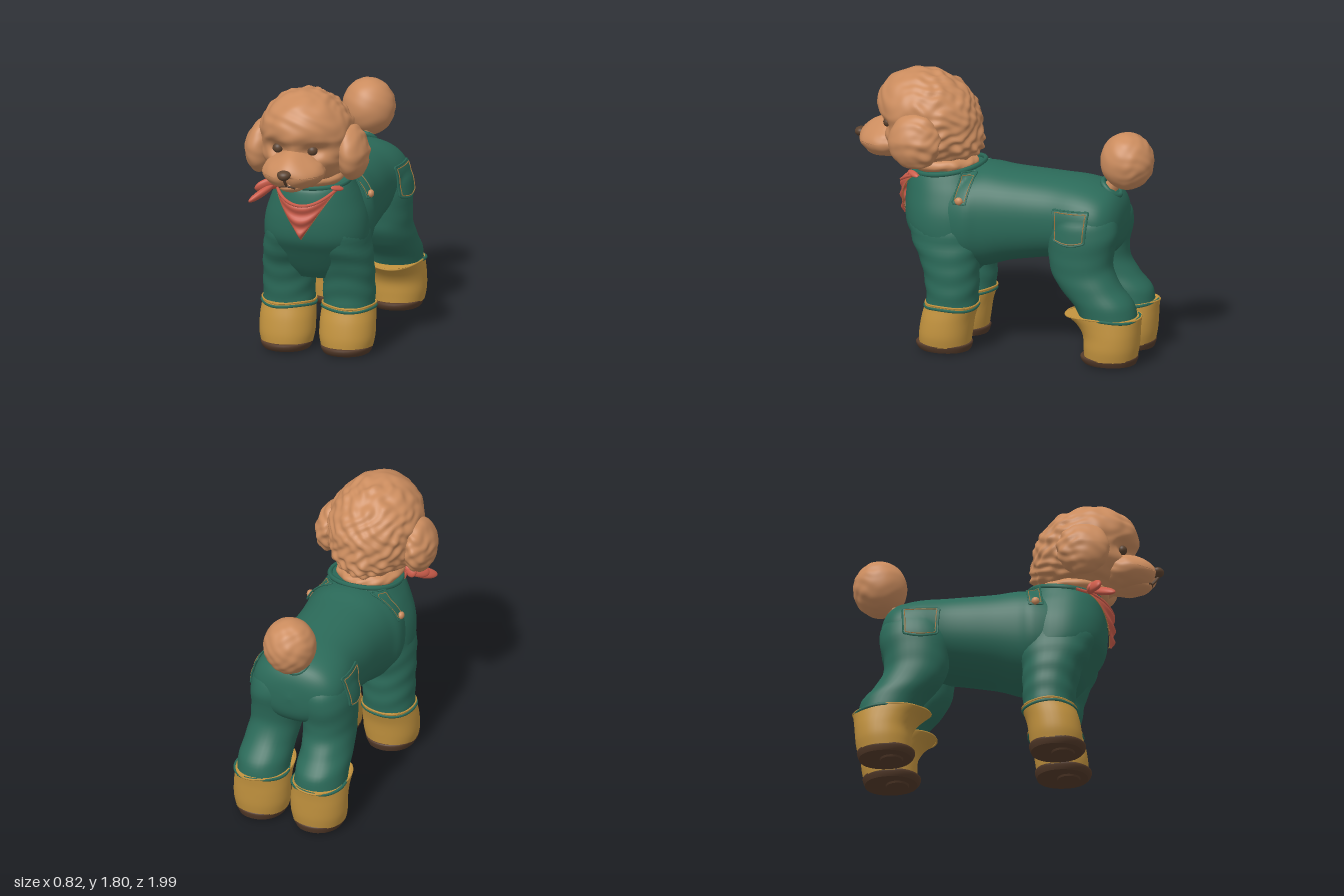
import * as THREE from 'three';
import { mergeVertices } from 'three/addons/utils/BufferGeometryUtils.js';

const mat = (name, color, side = THREE.FrontSide) => {
  const m = new THREE.MeshStandardMaterial({ color, side });
  m.name = name;
  return m;
};
const V = (x, y, z) => new THREE.Vector3(x, y, z);
const X0 = 0.01; // slight sideways shift of the clothed body

export function createModel() {
  const root = new THREE.Group();
  root.name = 'dressedDog';
  const fur = mat('apricotFur', 0xcb8c5e), green = mat('greenCloth', 0x2b6a59, THREE.DoubleSide);
  const gold = mat('goldBoot', 0xc4943f), brown = mat('brownSole', 0x563c2b);
  const dark = mat('darkNose', 0x5c4330), red = mat('redScarf', 0xcb5c4a, THREE.DoubleSide);
  const stitch = mat('tanStitch', 0xa9793f);

  const add = (name, geo, material, parent = root) => {
    const mesh = new THREE.Mesh(geo, material);
    mesh.name = name;
    parent.add(mesh);
    return mesh;
  };

  // Skin over elliptical sections [x, y, z, rx, rz, tilt]; tilt PI/2 stands the ring upright
  function loft(sections, { power = 2, seg = 36, steps = 5, wrinkle = 0 } = {}) {
    const pos = [], idx = [], n = (sections.length - 1) * steps;
    const get = (i, k) => sections[Math.max(0, Math.min(sections.length - 1, i))][k] || 0;
    const at = (t, k) => {
      const i = Math.min(Math.floor(t), sections.length - 2), f = t - i;
      const [a, b, c, d] = [get(i - 1, k), get(i, k), get(i + 1, k), get(i + 2, k)];
      return b + 0.5 * f * (c - a + f * (2 * a - 5 * b + 4 * c - d + f * (3 * (b - c) + d - a)));
    };
    const sp = (v) => Math.sign(v) * Math.pow(Math.abs(v), 2 / power);
    const ring = (i) => {
      const [x, y, z, rx, rz, tilt] = [0, 1, 2, 3, 4, 5].map((k) => at(i / steps, k));
      for (let j = 0; j < seg; j++) {
        const a = (j / seg) * Math.PI * 2;
        const w = 1 + wrinkle * Math.sin(y * 48 + 1.5 * Math.sin(a * 2 + x * 9));
        const v = sp(Math.sin(a)) * rz * w;
        pos.push(x + X0 + sp(Math.cos(a)) * rx * w, y + v * Math.sin(tilt), z + v * Math.cos(tilt));
      }
      return [x + X0, y, z];
    };
    for (let i = 0; i <= n; i++) ring(i);
    for (let i = 0; i < n; i++) for (let j = 0; j < seg; j++) {
      const a = i * seg + j, b = i * seg + (j + 1) % seg;
      idx.push(a, a + seg, b, b, a + seg, b + seg);
    }
    for (const end of [0, n]) { // flat caps
      const s = pos.length / 3;
      pos.push(...ring(end));
      for (let j = 0; j < seg; j++) {
        const a = s + j, b = s + (j + 1) % seg;
        idx.push(s + seg, end ? b : a, end ? a : b);
      }
    }
    const g = new THREE.BufferGeometry();
    g.setAttribute('position', new THREE.Float32BufferAttribute(pos, 3));
    g.setIndex(idx);
    g.computeVertexNormals();
    return g;
  }

  // Smooth ball, moved point by point by a rule, with curly relief
  function blob(c, r, detail, curl = 0, shape = () => {}) {
    let g = new THREE.IcosahedronGeometry(1, detail);
    g.deleteAttribute('uv');
    g.deleteAttribute('normal');
    g = mergeVertices(g, 1e-4);
    const p = g.attributes.position, v = V(0, 0, 0);
    for (let i = 0; i < p.count; i++) {
      v.fromBufferAttribute(p, i);
      const d = v.clone();
      v.multiply(V(...r)).add(V(...c));
      const { x, y, z } = v;
      const soft = Math.sin(x * 31 + 2 * Math.sin(y * 23)) * Math.sin(y * 29 + 2 * Math.sin(z * 21)) + 0.5 * Math.sin(z * 37 + x * 19 + y * 11);
      const tight = Math.sin(x * 62 + Math.sin(y * 31)) * Math.sin(y * 66 + Math.sin(z * 35)) + 0.5 * Math.sin(z * 64 + 1.3 * Math.sin(x * 40)) * Math.sin(y * 45);
      v.addScaledVector(d, curl * (0.45 * soft + tight * THREE.MathUtils.clamp(0.4 - d.z * 1.2, 0, 0.9)));
      shape(v);
      p.setXYZ(i, v.x, v.y, v.z);
    }
    g.computeVertexNormals();
    return g;
  }
  const tube = (pts, r, closed = false) =>
    new THREE.TubeGeometry(new THREE.CatmullRomCurve3(pts, closed, 'centripetal'), pts.length * 3, r, 6, closed);

  // Curved sheet from a rule f(u, v) -> point
  function sheet(f, nu, nv) {
    const g = new THREE.PlaneGeometry(1, 1, nu, nv), p = g.attributes.position;
    for (let i = 0; i < p.count; i++) p.setXYZ(i, ...f(p.getX(i) + 0.5, 0.5 - p.getY(i)).toArray());
    g.computeVertexNormals();
    return g;
  }

  // ---- Clothed body ----
  const up = Math.PI / 2, cloth = [];
  const clothPart = (name, geo) => cloth.push(add(name, geo, green));
  clothPart('torso', loft([
    [0, 0.84, 0.5, 0.12, 0.18, up], [0, 0.85, 0.4, 0.27, 0.28, up], [0, 0.86, 0.2, 0.335, 0.33, up],
    [0, 0.875, 0.08, 0.315, 0.335, up], [0, 0.89, -0.06, 0.3, 0.305, up], [0, 0.9, -0.2, 0.295, 0.287, up],
    [0, 0.91, -0.38, 0.293, 0.268, up], [0, 0.91, -0.55, 0.315, 0.255, up], [0, 0.9, -0.68, 0.31, 0.235, up],
    [0, 0.895, -0.76, 0.26, 0.195, up], [0, 0.89, -0.805, 0.16, 0.12, up], [0, 0.89, -0.82, 0.01, 0.01, up],
  ], { power: 2.25, seg: 56 }));
  clothPart('chest', loft([
    [0, 0.505, 0.28, 0.2, 0.14], [0, 0.58, 0.285, 0.27, 0.195], [0, 0.7, 0.3, 0.325, 0.258], [0, 0.8, 0.33, 0.336, 0.288],
    [0, 0.92, 0.335, 0.324, 0.297], [0, 1.04, 0.34, 0.285, 0.285], [0, 1.12, 0.35, 0.25, 0.26], [0, 1.17, 0.36, 0.225, 0.235, -0.12],
  ], { power: 2.2, seg: 56 }));
  for (const s of [-1, 1]) {
    const side = s > 0 ? 'left' : 'right';
    clothPart(side + 'FrontTrouser', loft([
      [s * 0.2, 0.3, 0.277, 0.165, 0.163], [s * 0.2, 0.4, 0.277, 0.165, 0.168], [s * 0.198, 0.5, 0.283, 0.164, 0.177],
      [s * 0.193, 0.6, 0.295, 0.165, 0.192], [s * 0.175, 0.72, 0.31, 0.168, 0.235], [s * 0.145, 0.86, 0.31, 0.17, 0.265],
      [s * 0.1, 1.0, 0.33, 0.13, 0.18],
    ], { power: 2.2, wrinkle: 0.016 }));
    clothPart(side + 'HindTrouser', loft([
      [s * 0.2, 0.3, -0.77, 0.165, 0.18], [s * 0.2, 0.4, -0.73, 0.165, 0.2], [s * 0.195, 0.5, -0.645, 0.162, 0.205],
      [s * 0.185, 0.6, -0.588, 0.162, 0.205], [s * 0.178, 0.7, -0.575, 0.168, 0.21], [s * 0.17, 0.85, -0.582, 0.172, 0.233],
      [s * 0.15, 0.96, -0.585, 0.16, 0.205], [s * 0.12, 1.06, -0.58, 0.1, 0.12],
    ], { power: 2.15, wrinkle: 0.006 }));

    // Boots with soles and cuffs
    const boots = {
      Front: { z: 0.325, rz: 0.168, hem: [0.303, 0.282, 0.172], wall: [[0.05, 0.325, 0.165, 0.165], [0.12, 0.32, 0.179, 0.17], [0.22, 0.305, 0.179, 0.17], [0.3, 0.282, 0.172, 0.172], [0.325, 0.278, 0.173, 0.173]] },
      Hind: { z: -0.775, rz: 0.172, hem: [0.318, -0.79, 0.18], wall: [[0.05, -0.78, 0.168, 0.17], [0.12, -0.785, 0.18, 0.178], [0.2, -0.785, 0.18, 0.185], [0.27, -0.765, 0.177, 0.21], [0.325, -0.732, 0.175, 0.25]] },
    };
    for (const [end, b] of Object.entries(boots)) {
      const x = s * 0.2;
      add(side + end + 'Boot', loft(b.wall.map(([y, ...r]) => [x, y, ...r]), { power: 2.15 }), gold);
      add(side + end + 'Sole', loft([[x, 0.012, b.z, 0.148, b.rz - 0.004], [x, 0.03, b.z + 0.005, 0.158, b.rz + 0.008],
        [x, 0.055, b.z + 0.005, 0.166, b.rz + 0.015], [x, 0.062, b.z + 0.003, 0.16, b.rz + 0.005]], { power: 2.15, steps: 2 }), brown);
      add(side + end + 'Tread', loft([[x, 0, b.z + 0.04, 0.07, 0.07], [x, 0.02, b.z + 0.04, 0.08, 0.08]], { steps: 1 }), brown);
      const hoop = (y, z, rz) => Array.from({ length: 24 }, (_, i) => {
        const a = (i / 24) * Math.PI * 2;
        return V(x + X0 + 0.173 * Math.cos(a), y + 0.006 * Math.sin(a * 3 + s), z + rz * Math.sin(a));
      });
      const [, rimZ, , rimR] = b.wall[4];
      add(side + end + 'BootRim', tube(hoop(0.323, rimZ, rimR), 0.006, true), gold);
      add(side + end + 'TrouserHem', tube(hoop(...b.hem), 0.01, true), green);
    }
  }

  // Finds the cloth surface so that trims can lie on it
  const caster = new THREE.Raycaster();
  root.updateMatrixWorld(true);
  const onCloth = (from, dir, lift) => {
    caster.set(from, dir);
    const hit = caster.intersectObjects(cloth, false)[0];
    return hit ? hit.point.addScaledVector(dir, -lift) : null;
  };
  const onSide = (s, y, z, lift) => onCloth(V(s * 2, y, z), V(-s, 0, 0), lift) || V(s * 0.2, y, z);

  // Closed outline of a sheet, set in by a margin m
  const border = (m, lift, path) => {
    const out = [], corners = [[m, m], [1 - m, m], [1 - m, 1 - m], [m, 1 - m]];
    corners.forEach((a, k) => {
      const b = corners[(k + 1) % 4];
      for (let i = 0; i < 6; i++) out.push(path(a[0] + (b[0] - a[0]) * i / 6, a[1] + (b[1] - a[1]) * i / 6, lift));
    });
    return out;
  };

  for (const s of [-1, 1]) {
    const side = s > 0 ? 'left' : 'right';
    // Hip pocket with stitched border
    const pocket = (u, v, lift) => {
      const y = 1.02 - v * (0.19 + 0.025 * (1 - (2 * u - 1) ** 2));
      return onSide(s, y, -0.42 - 0.235 * u - 0.012 * v * (1 - 2 * u), lift);
    };
    add(side + 'Pocket', sheet((u, v) => pocket(u, v, 0.014), 12, 12), green);
    add(side + 'PocketEdge', tube(border(0, 0.01, pocket), 0.007, true), green);
    add(side + 'PocketStitch', tube(border(0.06, 0.018, pocket), 0.003, true), stitch);

    // Shoulder strap and button
    const strap = (u, v, lift) => onSide(s, 1.185 - 0.175 * v, 0.13 + 0.085 * u + 0.03 * v, lift);
    add(side + 'Strap', sheet((u, v) => strap(u, v, 0.014), 8, 10), green);
    add(side + 'StrapEdge', tube(border(0, 0.012, strap), 0.006, true), green);
    add(side + 'StrapStitch', tube(border(0.1, 0.015, strap), 0.0025, true), stitch);
    const b = onSide(s, 1.03, 0.2, 0.022);
    add(side + 'Button', blob(b.toArray(), [0.02, 0.026, 0.026], 4), fur);
  }

  // Collar round the neck
  add('collar', tube(Array.from({ length: 28 }, (_, i) => {
    const a = (i / 28) * Math.PI * 2, f = (1 - Math.sin(a)) / 2;
    return V(X0 + 0.23 * Math.cos(a), 1.15 + 0.065 * f * f, 0.36 + 0.235 * Math.sin(a));
  }), 0.016, true), green);

  // ---- Scarf ----
  const scarf = (u, v, lift) => {
    const k = 2 * u - 1, top = 1.15 - 0.1 * (1 - k * k);
    const x = 0.215 * k * (1 - v), y = top + (0.82 - top) * v;
    const p = onCloth(V(x, y, 2), V(0, 0, -1), lift) || V(x, y, 0.55);
    p.z += (0.022 + 0.009 * Math.sin(v * 17)) * (1 - k * k);
    return p;
  };
  add('scarf', sheet((u, v) => scarf(u, v, 0.024), 20, 20), red);
  const line = (f) => Array.from({ length: 14 }, (_, i) => f(i / 13));
  add('scarfTopFold', tube(line((t) => scarf(t, 0, 0.024)), 0.011), red);
  for (const u of [0, 1]) add(u ? 'leftScarfHem' : 'rightScarfHem', tube(line((t) => scarf(u, t, 0.02)), 0.003), stitch);
  const leaf = (name, a, b, w) => {
    const m = add(name, blob([0, 0, 0], [w, a.distanceTo(b) / 2, w * 0.6], 6), red);
    m.position.copy(a).lerp(b, 0.5);
    m.quaternion.setFromUnitVectors(V(0, 1, 0), b.clone().sub(a).normalize());
  };
  leaf('scarfKnot', V(-0.25, 1.12, 0.53), V(-0.18, 1.18, 0.57), 0.04);
  leaf('scarfTailUpper', V(-0.18, 1.17, 0.54), V(-0.32, 1.12, 0.61), 0.045);
  leaf('scarfTailLower', V(-0.21, 1.14, 0.55), V(-0.33, 1.06, 0.71), 0.04);
  leaf('scarfEnd', V(0.18, 1.16, 0.58), V(0.24, 1.14, 0.5), 0.02);

  // ---- Head ----
  const head = new THREE.Group();
  head.name = 'head';
  root.add(head);
  const bump = (d, w) => Math.exp(-((d / w) ** 2));
  add('skull', blob([0, 1.49, 0.495], [0.303, 0.303, 0.338], 32, 0.009, (v) => {
    const low = Math.max(0, (1.49 - v.y) / 0.303), face = THREE.MathUtils.smoothstep(v.z, 0.5, 0.7);
    v.x *= 1 + 0.3 * low * low; // full nape under the crown
    if (v.z < 0.495) v.z = 0.495 + (v.z - 0.495) * (1 + 0.8 * low * low);
    v.z += 0.055 * Math.max(0, (v.y - 1.49) / 0.303);
    // eye sockets and brow step
    v.z -= face * (0.05 * bump(Math.abs(v.x) - 0.12, 0.075) * bump(v.y - 1.445, 0.055) + 0.02 * bump(v.y - 1.45, 0.06));
  }), fur, head);
  add('neck', blob([0, 1.2, 0.41], [0.215, 0.075, 0.235], 12, 0.006), fur, head);
  add('muzzle', blob([-0.01, 1.312, 0.765], [0.202, 0.112, 0.19], 20, 0.005, (v) => {
    const x = v.x + 0.01;
    if (v.y > 1.312) v.y += 0.035 * bump(x, 0.1) - 0.15 * Math.max(0, v.z - 0.765);
    else v.z -= 0.03 * bump(x, 0.03) * THREE.MathUtils.smoothstep(v.z, 0.8, 0.9); // groove under the nose
  }), fur, head);
  add('chin', blob([-0.01, 1.235, 0.79], [0.095, 0.045, 0.13], 9, 0.004), fur, head);
  for (const s of [-1, 1]) {
    const side = s > 0 ? 'left' : 'right';
    add(side + 'Ear', blob([s * 0.308, 1.39, 0.505], [0.098, 0.18, 0.168], 17, 0.007, (v) => {
      v.x -= s * 0.03 * Math.max(0, (v.y - 1.4) / 0.18);
    }), fur, head);
    add(side + 'Eye', blob([s * 0.115 - 0.01, 1.448, 0.74], [0.034, 0.032, 0.03], 6), dark, head);
  }
  add('nose', blob([-0.018, 1.33, 0.955], [0.044, 0.033, 0.042], 7, 0, (v) => {
    v.x = -0.018 + (v.x + 0.018) * (1 + (v.y - 1.33) * 6);
  }), dark, head);
  add('noseStem', tube([V(-0.015, 1.31, 0.965), V(-0.014, 1.28, 0.945), V(-0.012, 1.25, 0.915)], 0.01), dark, head);
  add('mouth', tube([V(-0.065, 1.236, 0.9), V(-0.04, 1.246, 0.913), V(-0.012, 1.25, 0.92), V(0.016, 1.246, 0.913), V(0.041, 1.236, 0.9)], 0.007), dark, head);

  // ---- Tail ----
  add('tailStem', tube([V(0, 1.05, -0.68), V(0, 1.13, -0.73), V(0, 1.22, -0.79)], 0.05), fur);
  const ring = add('tailCollar', new THREE.TorusGeometry(0.072, 0.018, 10, 32), green);
  ring.position.set(0, 1.11, -0.72);
  ring.rotation.x = 0.86;
  add('tailBase', loft([[-X0, 1.0, -0.66, 0.11, 0.11, 0.5], [-X0, 1.11, -0.72, 0.075, 0.075, 0.7]]), green);
  add('tailPompom', blob([0, 1.295, -0.825], [0.17, 0.186, 0.172], 17, 0.003), fur);
  return root;
}
